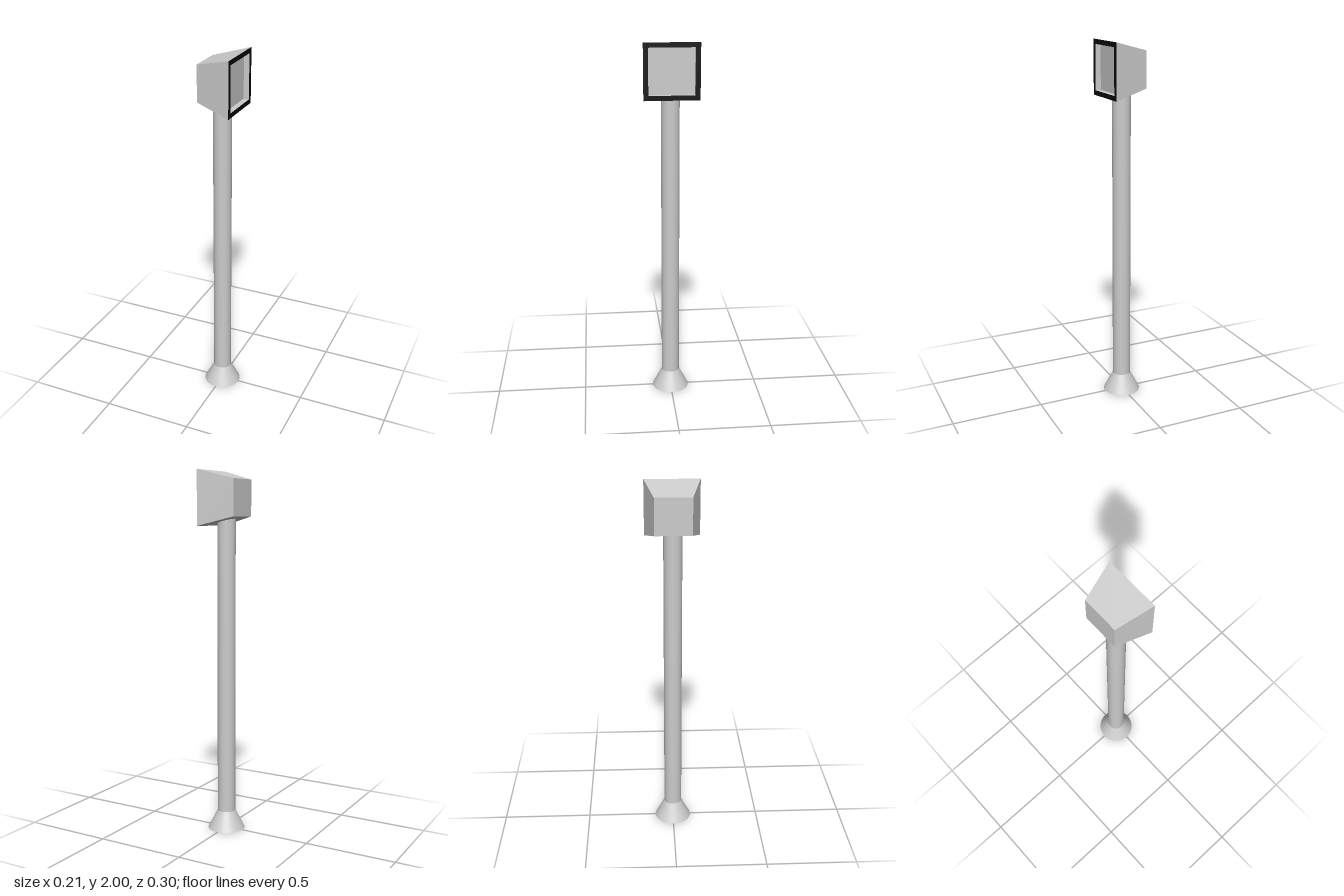
import * as THREE from 'three';

export function createModel() {
  const model = new THREE.Group();
  const grey = new THREE.MeshStandardMaterial({ color: 0xcccccc });
  const flatGrey = new THREE.MeshStandardMaterial({ color: 0xcccccc, flatShading: true });
  const black = new THREE.MeshStandardMaterial({ color: 0x0a0a0a, flatShading: true });

  const add = (name, geometry, material, y, parent = model) => {
    const mesh = new THREE.Mesh(geometry, material);
    mesh.name = name;
    mesh.position.y = y;
    parent.add(mesh);
    return mesh;
  };

  // Flared foot and round post
  add('base', new THREE.CylinderGeometry(0.05, 0.104, 0.104, 32), grey, 0.052);
  add('post', new THREE.CylinderGeometry(0.05, 0.05, 1.66, 32), grey, 0.93);

  // Square profile of [half width, x] pairs swept along the x axis
  const squareLoft = (profile) => {
    const points = profile.map(([half, x]) => new THREE.Vector2(half * Math.SQRT2, x));
    return new THREE.LatheGeometry(points, 4).rotateY(Math.PI / 4).rotateZ(-Math.PI / 2);
  };

  // Lamp head that widens towards +x, with a black rim and a recessed panel
  const back = -0.098, front = 0.096, recess = front - 0.03;
  const head = new THREE.Group();
  head.name = 'head';
  head.position.y = 1.852;
  model.add(head);
  add('housing', squareLoft([[0, back], [0.098, back], [0.148, front]]), flatGrey, 0, head);
  add('rim', squareLoft([[0.148, front], [0.122, front]]), black, 0, head);
  add('recessedPanel', squareLoft([[0.122, front], [0.122, recess], [0, recess]]), flatGrey, 0, head);

  return model;
}
